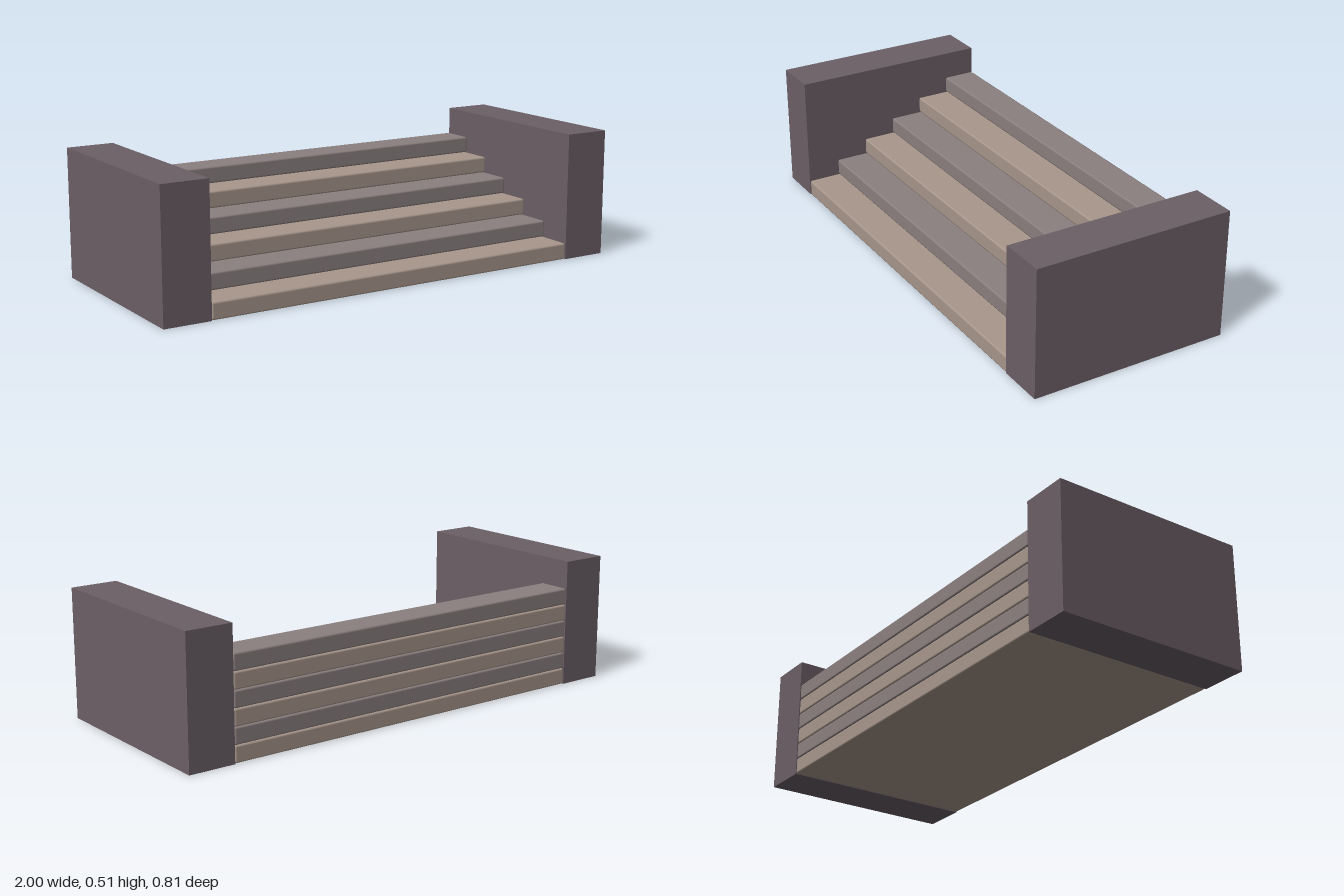
import * as THREE from 'three';
import { RoundedBoxGeometry } from 'three/addons/geometries/RoundedBoxGeometry.js';

const STEPS = 6;
const RISE = 0.0675;
const RUN = 0.135;
const BACK = -0.405;
const WALL_WIDTH = 0.19;
const WALL_HEIGHT = 0.515;

export function createModel() {
  const model = new THREE.Group();
  model.name = 'steps';

  const material = (color) => new THREE.MeshStandardMaterial({ color });
  const wallMaterial = material(0x6b5f65);
  const lightStone = material(0xa8978c);
  const darkStone = material(0x8c8080);

  // Stacked slabs, flush at the back, each one tread shorter than the one below
  for (let i = 0; i < STEPS; i++) {
    const depth = RUN * (STEPS - i);
    const step = new THREE.Mesh(
      new RoundedBoxGeometry(1.618, RISE, depth, 1, 0.008),
      i % 2 ? darkStone : lightStone
    );
    step.name = `step${i + 1}`;
    step.position.set(0, RISE * (i + 0.5), BACK + depth / 2);
    model.add(step);
  }

  // Solid side walls
  for (const side of [-1, 1]) {
    const wall = new THREE.Mesh(
      new THREE.BoxGeometry(WALL_WIDTH, WALL_HEIGHT, RUN * STEPS),
      wallMaterial
    );
    wall.name = side > 0 ? 'leftWall' : 'rightWall';
    wall.position.set(side * (1 - WALL_WIDTH / 2), WALL_HEIGHT / 2, 0);
    model.add(wall);
  }

  return model;
}
